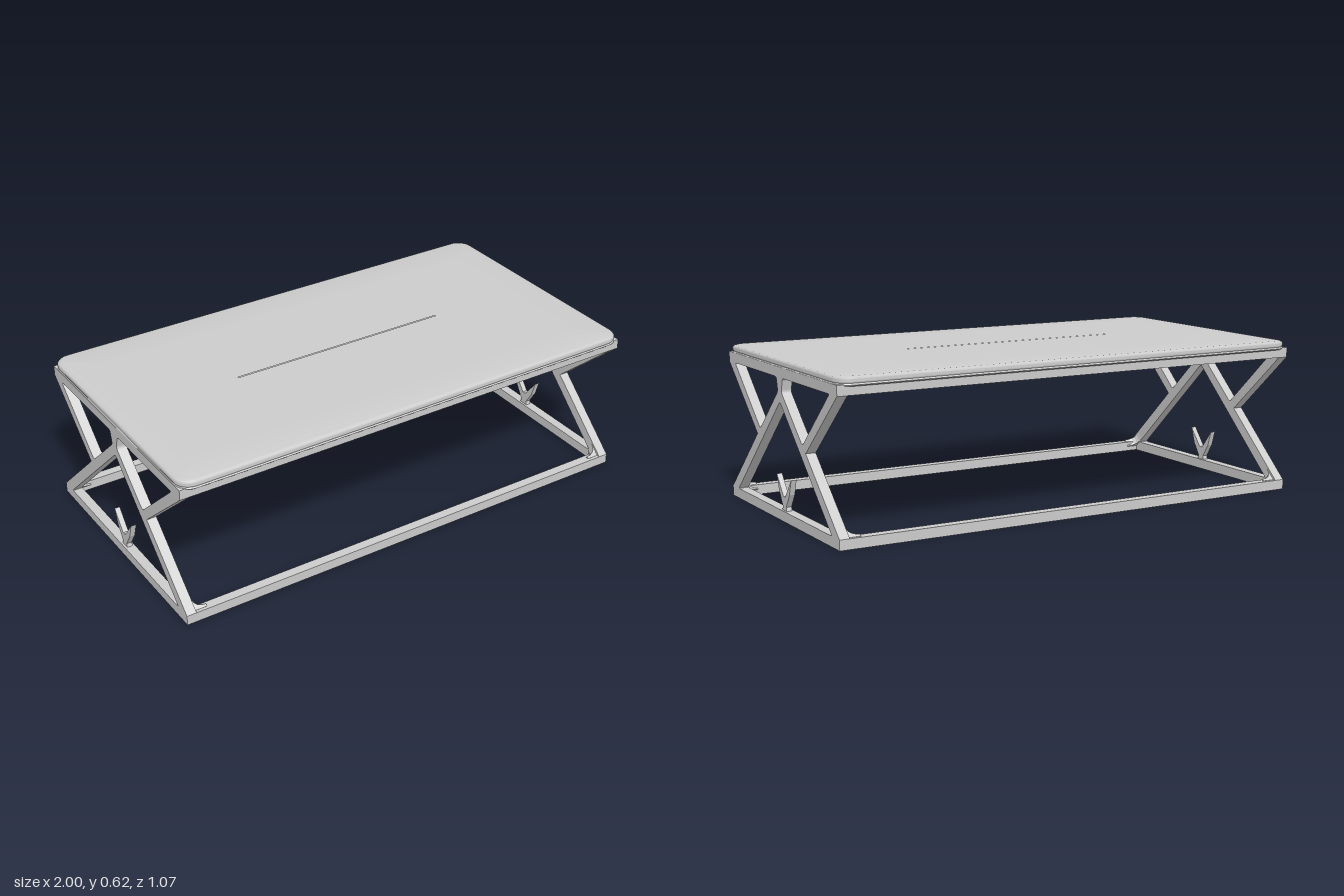
import * as THREE from 'three';
import { toCreasedNormals } from 'three/addons/utils/BufferGeometryUtils.js';

const material = new THREE.MeshStandardMaterial({ color: 0xcccccc });

function add(parent, name, geometry, x = 0, y = 0, z = 0) {
  const mesh = new THREE.Mesh(geometry, material);
  mesh.name = name;
  mesh.position.set(x, y, z);
  parent.add(mesh);
  return mesh;
}

// Adds the points of one half, then their mirror image, to close an outline
const mirrored = (half) => [...half, ...half.slice().reverse().map(([x, y]) => [-x, y])]
  .map(([x, y]) => new THREE.Vector2(x, y));

// Outline with every corner slightly rounded
function roundedPath(points, r, path = new THREE.Path()) {
  points.forEach((p, i) => {
    const prev = points.at(i - 1), next = points[(i + 1) % points.length];
    const a = prev.clone().sub(p).setLength(r).add(p);
    const b = next.clone().sub(p).setLength(r).add(p);
    if (i) path.lineTo(a.x, a.y); else path.moveTo(a.x, a.y);
    path.quadraticCurveTo(p.x, p.y, b.x, b.y);
  });
  path.closePath();
  return path;
}

const extrude = (shape, depth) => {
  const g = new THREE.ExtrudeGeometry(shape, { depth, bevelEnabled: false, curveSegments: 5 });
  return g.translate(0, 0, -depth / 2);
};

// End frame: crossed legs, rails and a short king post, cut from one plate
function endFrameGeometry() {
  const shape = new THREE.Shape(mirrored([[0.52, 0], [0.52, 0.04], [0.235, 0.3], [0.52, 0.55], [0.52, 0.59]]));
  const v = (x, y) => new THREE.Vector2(x, y);
  shape.holes.push(roundedPath([v(-0.455, 0.04), v(0.455, 0.04), v(0, 0.458)], 0.012));
  for (const s of [1, -1]) {
    shape.holes.push(roundedPath(
      [v(s * 0.455, 0.55), v(s * 0.03, 0.55), v(s * 0.018, 0.495), v(s * 0.205, 0.325)], 0.012));
  }
  return extrude(shape, 0.04).rotateY(-Math.PI / 2);
}

// Forked sprout standing on the lower rail
function sproutGeometry() {
  const shape = new THREE.Shape(mirrored(
    [[0.022, 0.035], [0.016, 0.055], [0.05, 0.108], [0.07, 0.17], [0.008, 0.093]]));
  return extrude(shape, 0.022).rotateY(-Math.PI / 2);
}

// Concave corner fillet between leg and long rail
function filletGeometry(r) {
  const shape = new THREE.Shape();
  shape.moveTo(0.01, -0.01);
  shape.lineTo(0.01, r);
  shape.lineTo(0, r);
  shape.quadraticCurveTo(0, 0, -r, 0);
  shape.lineTo(-r, -0.01);
  return extrude(shape, 0.034);
}

// Padded top: rounded rectangle loops stacked along an [inset, height] profile
function cushionGeometry() {
  const profile = [[0.535, 0.578], [0.03, 0.578], [0.006, 0.583], [0, 0.588], [0.004, 0.594],
    [0.001, 0.6], [0.001, 0.609], [0.006, 0.615], [0.02, 0.618], [0.15, 0.621], [0.535, 0.622]];
  const steps = 8, n = 4 * (steps + 1), pos = [], index = [];
  for (const [inset, y] of profile) {
    const r = Math.max(0.065 - inset, 0.002);
    const hx = 1 - inset - r, hz = Math.max(0.535 - inset - r, 0);
    for (let c = 0; c < 4; c++) {
      const sx = c === 0 || c === 3 ? 1 : -1, sz = c < 2 ? 1 : -1;
      for (let i = 0; i <= steps; i++) {
        const a = (c + i / steps) * Math.PI / 2;
        pos.push(sx * hx + r * Math.cos(a), y, sz * hz + r * Math.sin(a));
      }
    }
  }
  for (let k = 0; k < profile.length - 1; k++) {
    for (let i = 0; i < n; i++) {
      const a = k * n + i, b = k * n + (i + 1) % n;
      index.push(a, a + n, b, b, a + n, b + n);
    }
  }
  const g = new THREE.BufferGeometry();
  g.setAttribute('position', new THREE.Float32BufferAttribute(pos, 3));
  g.setIndex(index);
  return toCreasedNormals(g, 0.9);
}

export function createModel() {
  const model = new THREE.Group();
  model.name = 'bench';

  add(model, 'cushion', cushionGeometry());
  add(model, 'seatPanel', new THREE.BoxGeometry(1.94, 0.012, 0.98), 0, 0.574, 0);

  const endFrame = endFrameGeometry(), sprout = sproutGeometry(), fillet = filletGeometry(0.05);
  const rail = new THREE.BoxGeometry(1.92, 0.04, 0.04);

  // Each half holds one end frame and one pair of long rails; the other is turned half round
  for (const turn of [0, Math.PI]) {
    const half = new THREE.Group();
    half.name = turn ? 'backHalf' : 'frontHalf';
    half.rotation.y = turn;
    add(half, 'endFrame', endFrame, 0.98, 0, 0);
    add(half, 'sprout', sprout, 0.98, 0, 0);
    add(half, 'lowerRail', rail, 0, 0.02, 0.5);
    add(half, 'upperRail', rail, 0, 0.57, 0.5);
    for (const s of [1, -1]) {
      const corner = new THREE.Group();
      corner.name = 'cornerFillet';
      corner.position.set(s * 0.96, 0.035, 0.488);
      corner.rotation.set(-0.83, s > 0 ? 0 : Math.PI, 0);
      add(corner, 'fillet', fillet);
      half.add(corner);
    }
    model.add(half);
  }
  return model;
}
